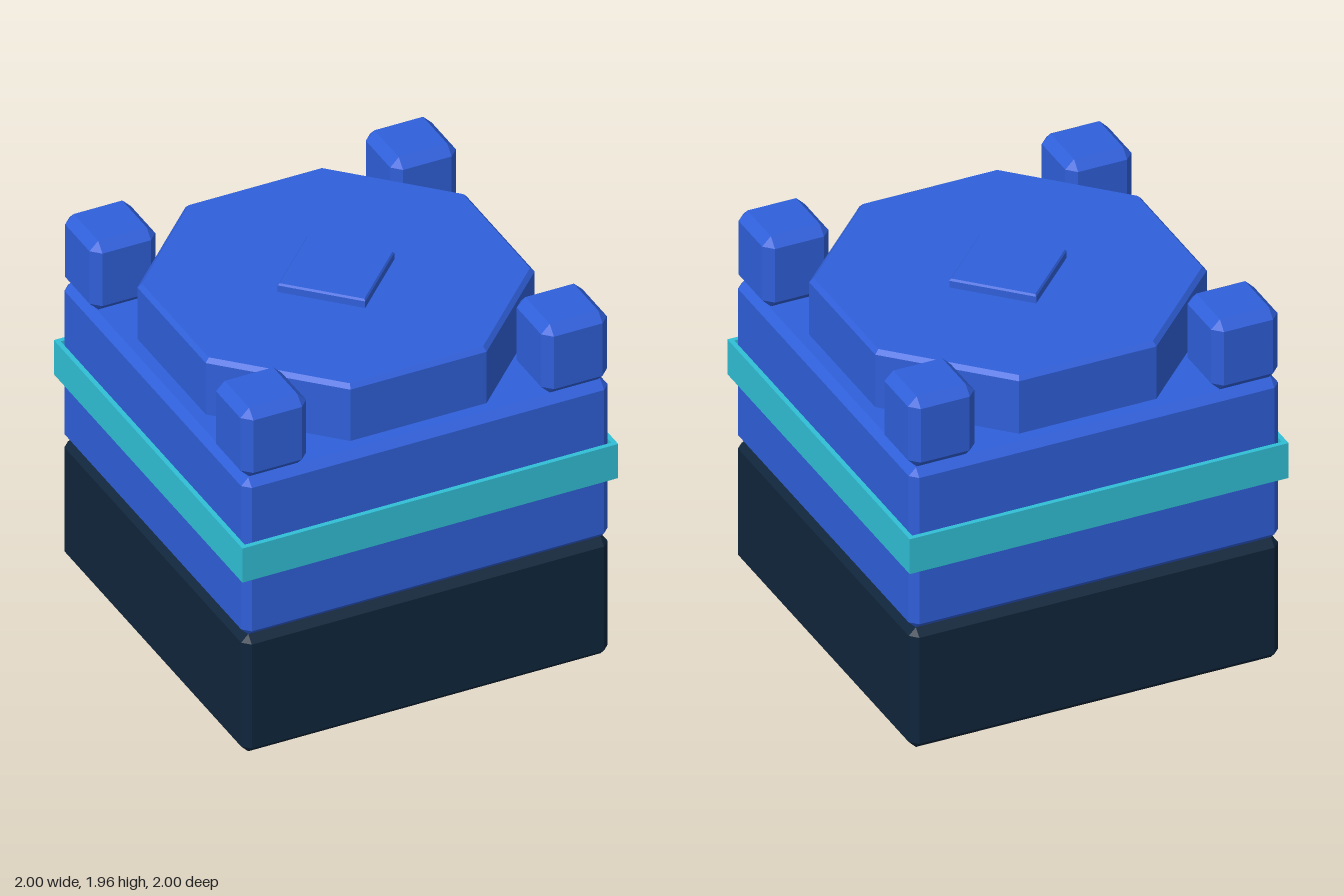
import * as THREE from 'three';
import { ConvexGeometry } from 'three/addons/geometries/ConvexGeometry.js';

// Box with every edge cut by a flat chamfer c
function chamferBox(w, h, d, c) {
  const points = [];
  for (const sx of [-1, 1]) for (const sy of [-1, 1]) for (const sz of [-1, 1]) {
    const x = w / 2, y = h / 2, z = d / 2;
    points.push(
      new THREE.Vector3(sx * x, sy * (y - c), sz * (z - c)),
      new THREE.Vector3(sx * (x - c), sy * y, sz * (z - c)),
      new THREE.Vector3(sx * (x - c), sy * (y - c), sz * z));
  }
  return new ConvexGeometry(points);
}

// Upright faceted slab with a chamfered top edge; radius is to the corners
function prism(radius, y0, y1, c, sides, phi) {
  const profile = [[0, y0], [radius, y0], [radius, y1 - c], [radius - c, y1], [0, y1]]
    .map(([x, y]) => new THREE.Vector2(x, y));
  const geometry = new THREE.LatheGeometry(profile, sides, phi).toNonIndexed();
  geometry.computeVertexNormals();
  return geometry;
}

export function createModel() {
  const model = new THREE.Group();
  const material = (name, color) => {
    const m = new THREE.MeshStandardMaterial({ color });
    m.name = name;
    return m;
  };
  const blue = material('blue', 0x2f5fd9);
  const teal = material('teal', 0x30bfd6);
  const navy = material('navy', 0x0f253b);

  const add = (name, geometry, mat, x = 0, y = 0, z = 0) => {
    const mesh = new THREE.Mesh(geometry, mat);
    mesh.name = name;
    mesh.position.set(x, y, z);
    model.add(mesh);
    return mesh;
  };

  // Stacked base and body
  add('base', chamferBox(1.95, 0.67, 1.95, 0.038), navy, 0, 0.335, 0);
  add('body', chamferBox(1.95, 0.895, 1.95, 0.038), blue, 0, 1.1175, 0);

  // Thin square band wrapped round the body, open at the chamfered corners
  const square = (s) => [[-s, -s], [s, -s], [s, s], [-s, s]].map(([x, y]) => new THREE.Vector2(x, y));
  const ring = new THREE.Shape(square(1));
  ring.holes.push(new THREE.Path(square(0.975).reverse()));
  const bandGeometry = new THREE.ExtrudeGeometry(ring, { depth: 0.195, bevelEnabled: false });
  bandGeometry.rotateX(-Math.PI / 2);
  add('band', bandGeometry, teal, 0, 1.02, 0);

  // Octagonal lid and the diamond plate on it
  const lidRadius = 0.875 / Math.cos(Math.PI / 8);
  add('lid', prism(lidRadius, 1.56, 1.88, 0.022, 8, Math.PI / 8), blue);
  add('diamondPlate', prism(0.31, 1.87, 1.927, 0.01, 4, 0), blue);

  // Corner posts
  const postGeometry = chamferBox(0.35, 0.392, 0.35, 0.046);
  for (const sx of [-1, 1]) for (const sz of [-1, 1]) {
    add('cornerPost', postGeometry, blue, sx * 0.8, 1.761, sz * 0.8);
  }
  return model;
}
